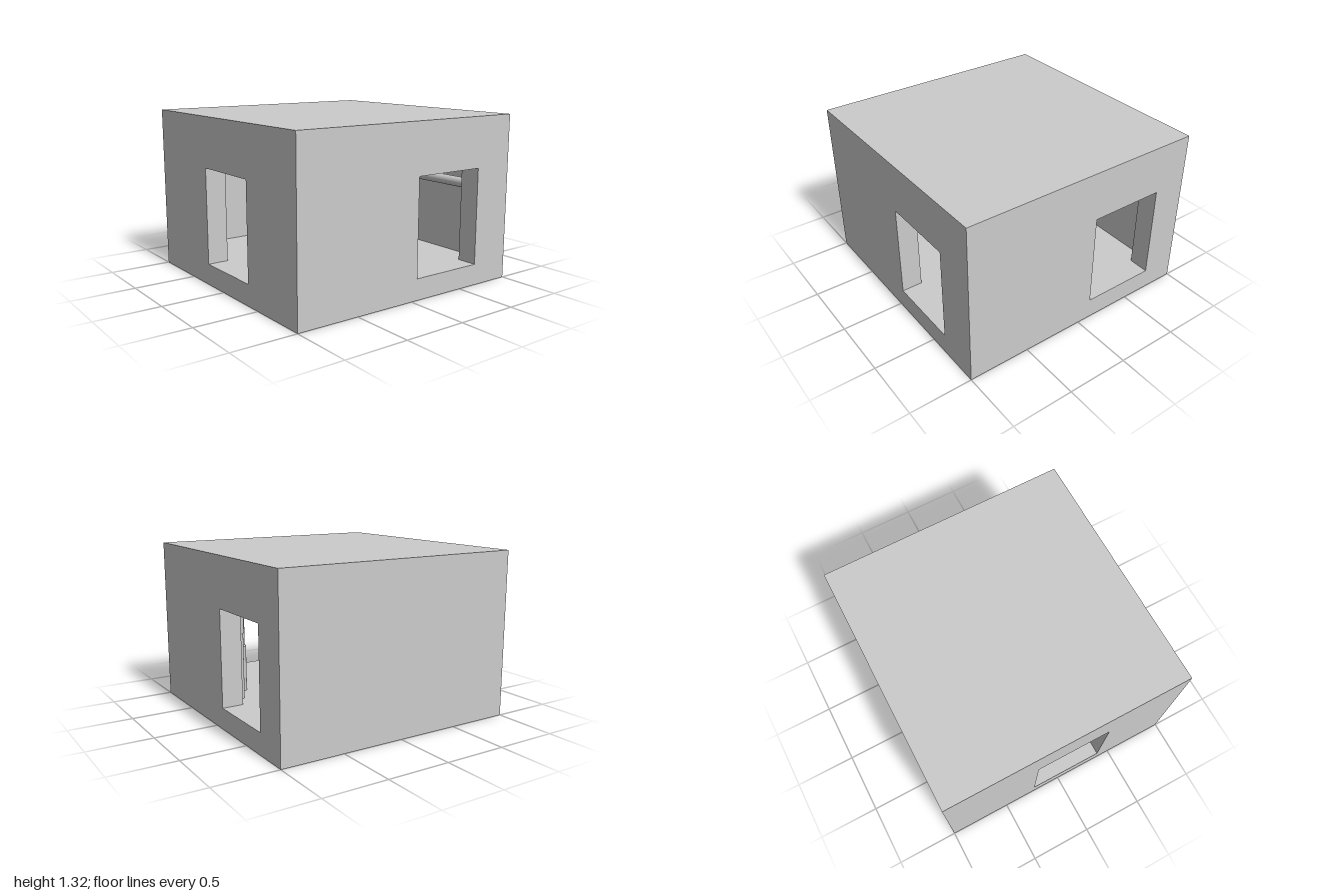
import * as THREE from 'three';

const SIZE = 1, HEIGHT = 1.32;                 // outer half width, height
const IN = 0.833, FLOOR = 0.167, CEIL = 1.153; // inner half width, floor, ceiling
const HOLE_TOP = 0.925;

const skin = new THREE.MeshStandardMaterial({ color: 0xcccccc });
const lining = new THREE.MeshStandardMaterial({ color: 0xcccccc, side: THREE.DoubleSide });

const shapeOf = (pts) => new THREE.Shape(pts.map(([x, y]) => new THREE.Vector2(x, y)));

function add(group, name, geometry, material) {
  const mesh = new THREE.Mesh(geometry, material);
  mesh.name = name;
  group.add(mesh);
  return mesh;
}

// One side of the room: outer face, inner face and, if open, the reveal of the opening
function wall(name, angle, hole) {
  const g = new THREE.Group();
  g.name = name;
  g.rotation.y = angle;
  const outer = shapeOf([[-SIZE, 0], [SIZE, 0], [SIZE, HEIGHT], [-SIZE, HEIGHT]]);
  const inner = [[-IN, FLOOR]];
  if (hole) {
    const [a, b] = hole;
    outer.holes.push(shapeOf([[a, FLOOR], [a, HOLE_TOP], [b, HOLE_TOP], [b, FLOOR]]));
    // the opening starts at floor level, so it notches the inner face
    inner.push([a, FLOOR], [a, HOLE_TOP], [b, HOLE_TOP], [b, FLOOR]);
    const w = b - a, h = HOLE_TOP - FLOOR, d = SIZE - IN;
    const cx = (a + b) / 2, cy = (FLOOR + HOLE_TOP) / 2, cz = (SIZE + IN) / 2;
    for (const x of [a, b]) {
      add(g, 'jamb', new THREE.PlaneGeometry(d, h).rotateY(x === a ? Math.PI / 2 : -Math.PI / 2), lining)
        .position.set(x, cy, cz);
    }
    add(g, 'sill', new THREE.PlaneGeometry(w, d).rotateX(-Math.PI / 2), lining).position.set(cx, FLOOR, cz);
    add(g, 'lintel', new THREE.PlaneGeometry(w, d).rotateX(Math.PI / 2), lining).position.set(cx, HOLE_TOP, cz);
  }
  inner.push([IN, FLOOR], [IN, CEIL], [-IN, CEIL]);
  add(g, 'outerFace', new THREE.ShapeGeometry(outer), skin).position.z = SIZE;
  // reversed so that it faces the room
  const innerGeo = new THREE.ShapeGeometry(shapeOf(inner.map(([x, y]) => [-x, y]))).rotateY(Math.PI);
  add(g, 'innerFace', innerGeo, lining).position.z = IN;
  return g;
}

// Horizontal slab face, facing up or down
function slab(group, name, half, y, up) {
  const geo = new THREE.PlaneGeometry(2 * half, 2 * half).rotateX(up ? -Math.PI / 2 : Math.PI / 2);
  add(group, name, geo, skin).position.y = y;
}

// Round pipe between two points
function pipe(group, name, from, to, radius) {
  const a = new THREE.Vector3(...from), b = new THREE.Vector3(...to);
  const dir = b.clone().sub(a);
  const mesh = add(group, name, new THREE.CylinderGeometry(radius, radius, dir.length(), 24), skin);
  mesh.position.copy(a).add(b).multiplyScalar(0.5);
  mesh.quaternion.setFromUnitVectors(new THREE.Vector3(0, 1, 0), dir.normalize());
}

// Upright turned part, from a short profile of [radius, height]
function turned(group, name, x, z, profile) {
  const flat = profile.slice(1).map((p, i) => [profile[i], p]);
  for (const pair of flat) {
    const geo = new THREE.LatheGeometry(pair.map(([r, y]) => new THREE.Vector2(r, y)), 24);
    add(group, name, geo, skin).position.set(x, 0, z);
  }
}

export function createModel() {
  const model = new THREE.Group();
  model.name = 'room';

  // Walls and slabs
  model.add(
    wall('frontWall', 0, [-0.235, 0.373]),
    wall('rightWall', Math.PI / 2, [0.053, 0.662]),
    wall('backWall', Math.PI, [0.11, 0.718]),
    wall('leftWall', -Math.PI / 2, null),
  );
  slab(model, 'roof', SIZE, HEIGHT, true);
  slab(model, 'underside', SIZE, 0, false);
  slab(model, 'floor', IN, FLOOR, true);
  slab(model, 'ceiling', IN, CEIL, false);

  // Pipework on the back wall
  const pipes = new THREE.Group();
  pipes.name = 'pipework';
  model.add(pipes);
  const teeX = 0.056, backZ = -0.78, frontX = 0.25, frontZ = -0.675, branchY = 0.765;
  pipe(pipes, 'teeRiser', [teeX, FLOOR, backZ], [teeX, CEIL, backZ], 0.04);
  turned(pipes, 'teeCollar', teeX, backZ,
    [[0.04, 0.682], [0.045, 0.69], [0.045, 0.835], [0.04, 0.845]]);
  pipe(pipes, 'branchPipe', [teeX, branchY, backZ], [IN, branchY, backZ], 0.04);
  pipe(pipes, 'frontRiser', [frontX, FLOOR, frontZ], [frontX, CEIL, frontZ], 0.04);
  turned(pipes, 'riserSleeve', frontX, frontZ,
    [[0.05, FLOOR], [0.05, 0.535], [0.04, 0.545]]);

  // Pipes running across under the ceiling
  for (const z of [-0.62, -0.37, 0.38]) {
    pipe(pipes, 'ceilingPipe', [-IN, 1.09, z], [IN, 1.09, z], 0.04);
  }
  pipe(pipes, 'ceilingPipeCollar', [-IN, 1.09, -0.37], [-IN + 0.08, 1.09, -0.37], 0.05);

  return model;
}
